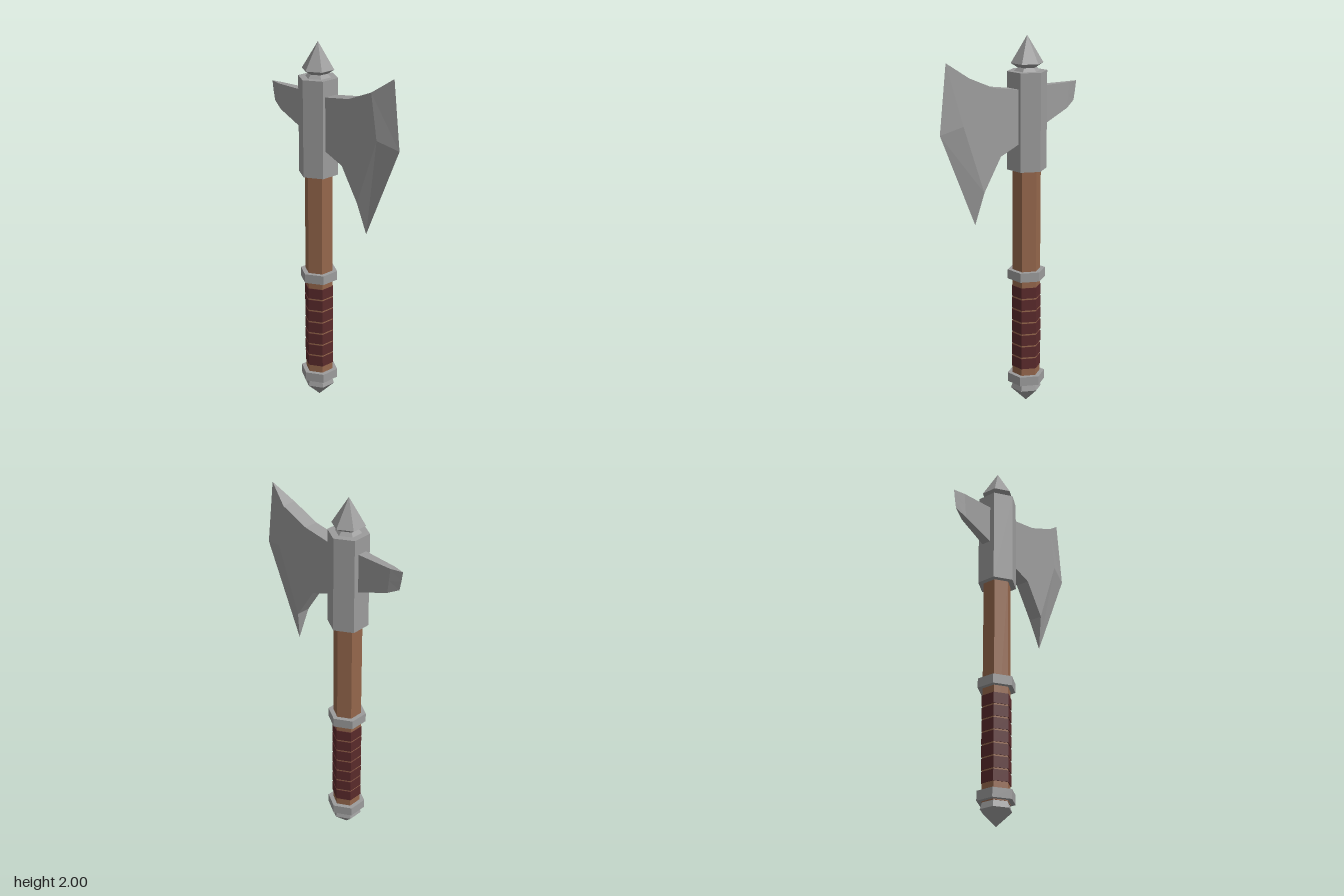
import * as THREE from 'three';

const flat = (name, color) => {
  const m = new THREE.MeshStandardMaterial({ color, flatShading: true });
  m.name = name;
  return m;
};

// Wedge-like solid from sections ordered by rising x: { pts: [top, mid, bottom], z: half thickness }
function wedge(sections) {
  const pos = [];
  const quad = (a, b, c, d) => pos.push(...a, ...b, ...c, ...a, ...c, ...d);
  const at = (s, j, side) => [s.pts[j][0], s.pts[j][1], s.z * side];
  for (let i = 0; i < sections.length - 1; i++) {
    const s = sections[i], t = sections[i + 1];
    for (let j = 0; j < 2; j++) {
      quad(at(s, j, 1), at(s, j + 1, 1), at(t, j + 1, 1), at(t, j, 1)); // front
      quad(at(t, j, -1), at(t, j + 1, -1), at(s, j + 1, -1), at(s, j, -1)); // back
    }
    quad(at(s, 0, 1), at(t, 0, 1), at(t, 0, -1), at(s, 0, -1)); // top
    quad(at(s, 2, -1), at(t, 2, -1), at(t, 2, 1), at(s, 2, 1)); // bottom
  }
  const g = new THREE.BufferGeometry();
  g.setAttribute('position', new THREE.Float32BufferAttribute(pos, 3));
  g.computeVertexNormals();
  return g;
}

export function createModel() {
  const steel = flat('steel', 0x9c9c9c);
  const wood = flat('wood', 0x95674c);
  const leather = flat('leather', 0x5a2a2b);
  const model = new THREE.Group();
  model.name = 'axe';
  const axis = -0.11;

  const add = (name, geometry, material) => {
    const mesh = new THREE.Mesh(geometry, material);
    mesh.name = name;
    model.add(mesh);
    return mesh;
  };
  // Six-sided prism on the handle axis, corners towards front and back
  const hex = (name, r, y0, y1, material) =>
    add(name, new THREE.CylinderGeometry(r, r, y1 - y0, 6), material).position.set(axis, (y0 + y1) / 2, 0);
  // Six-sided turned shape, profile from bottom to top
  const turned = (name, profile) =>
    add(name, new THREE.LatheGeometry(profile.map(p => new THREE.Vector2(...p)), 6), steel).position.x = axis;

  // Handle
  hex('shaft', 0.075, 0.12, 1.35, wood);
  for (let i = 0; i < 7; i++) {
    const y = 0.215 + i * 0.067;
    hex('gripWrap', 0.079, y, y + 0.058, leather);
  }
  hex('lowerRing', 0.101, 0.125, 0.175, steel);
  hex('upperRing', 0.101, 0.715, 0.765, steel);
  turned('pommel', [[0, 0.005], [0.083, 0.085], [0.07, 0.126]]);

  // Head
  hex('headSocket', 0.105, 1.31, 1.82, steel);
  turned('topSpike', [[0.068, 1.819], [0.05, 1.838], [0.085, 1.86], [0, 2]]);
  add('blade', wedge([
    { pts: [[-0.08, 1.73], [-0.08, 1.6], [-0.08, 1.475]], z: 0.037 },
    { pts: [[-0.02, 1.737], [-0.02, 1.6], [-0.02, 1.455]], z: 0.037 },
    { pts: [[0.145, 1.763], [0.12, 1.6], [0.1, 1.41]], z: 0.038 },
    { pts: [[0.3, 1.827], [0.34, 1.595], [0.21, 1.24]], z: 0.038 },
    { pts: [[0.415, 1.908], [0.457, 1.56], [0.24, 1.07]], z: 0 },
  ]), steel);
  add('backSpike', wedge([
    { pts: [[-0.46, 1.733], [-0.452, 1.68], [-0.442, 1.63]], z: 0 },
    { pts: [[-0.395, 1.732], [-0.388, 1.665], [-0.38, 1.597]], z: 0.016 },
    { pts: [[-0.2, 1.737], [-0.2, 1.63], [-0.2, 1.53]], z: 0.026 },
    { pts: [[-0.13, 1.738], [-0.13, 1.62], [-0.13, 1.505]], z: 0.03 },
  ]), steel);

  return model;
}
